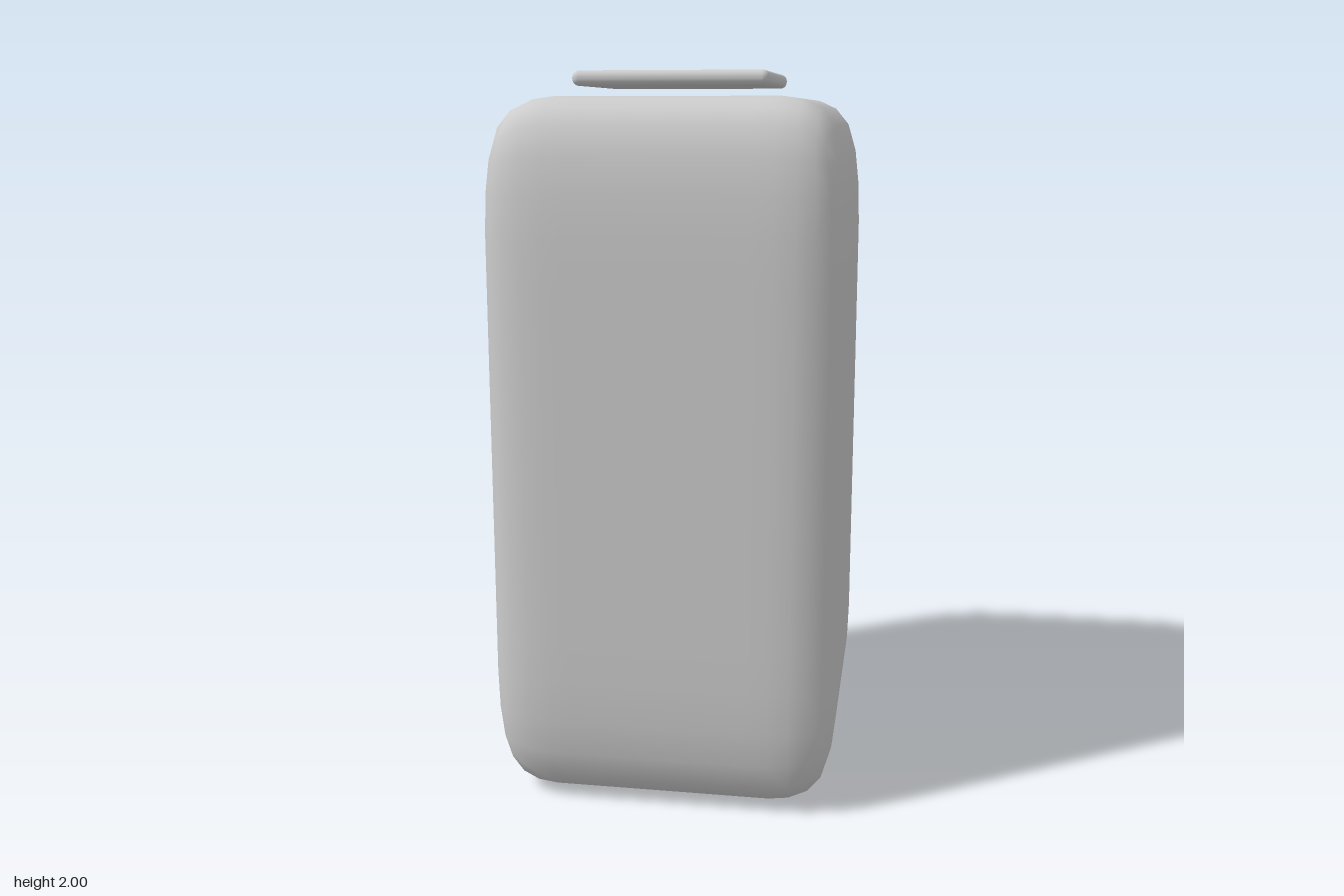
import * as THREE from 'three';
import { RoundedBoxGeometry } from 'three/addons/geometries/RoundedBoxGeometry.js';

// Box made of quads, softened by Catmull-Clark smoothing
function softBox(w, h, d, segments, levels) {
  const box = new THREE.BoxGeometry(w, h, d, segments, segments, segments);
  let points = [], lookup = new Map();
  const add = (p) => {
    const key = p.toArray().map((v) => Math.round(v * 1e5)).join();
    if (!lookup.has(key)) {
      lookup.set(key, points.length);
      points.push(p);
    }
    return lookup.get(key);
  };

  // Pair the box triangles (a b d, b c d) into quads with shared corners
  const corner = (i) => add(new THREE.Vector3().fromBufferAttribute(box.attributes.position, box.index.getX(i)));
  let quads = [];
  for (let i = 0; i < box.index.count; i += 6) {
    quads.push([corner(i), corner(i + 1), corner(i + 4), corner(i + 2)]);
  }

  const middle = (list) => list.reduce((s, p) => s.add(p), new THREE.Vector3()).divideScalar(list.length);
  for (let level = 0; level < levels; level++) {
    // Split every quad in four
    const old = points, finer = [];
    points = [];
    lookup = new Map();
    for (const q of quads) {
      const c = q.map((i) => old[i]);
      const centre = add(middle(c));
      const edges = c.map((p, k) => add(middle([p, c[(k + 1) % 4]])));
      c.forEach((p, k) => finer.push([add(p.clone()), edges[k], centre, edges[(k + 3) % 4]]));
    }
    quads = finer;
    // Pull each point towards the centres of its surrounding quads
    const around = points.map(() => []);
    for (const q of quads) {
      const m = middle(q.map((i) => points[i]));
      q.forEach((i) => around[i].push(m));
    }
    points = points.map((p, i) => p.clone().lerp(middle(around[i]), 4 / around[i].length));
  }

  const geometry = new THREE.BufferGeometry().setFromPoints(points);
  geometry.setIndex(quads.flatMap(([a, b, c, e]) => [a, b, c, a, c, e]));
  geometry.computeVertexNormals();
  return geometry;
}

export function createModel() {
  const model = new THREE.Group();
  model.name = 'cabinet';
  const grey = new THREE.MeshStandardMaterial({ color: 0xcccccc });
  grey.name = 'light grey';

  const addPart = (name, geometry, x, y, z) => {
    const mesh = new THREE.Mesh(geometry, grey);
    mesh.name = name;
    mesh.position.set(x, y, z);
    model.add(mesh);
  };

  // Soft main body
  addPart('body', softBox(0.96, 1.93, 0.96, 4, 2), 0, 0.968, 0.03);

  // Thin lid hovering just above the top
  addPart('lid', new RoundedBoxGeometry(0.525, 0.04, 0.525, 4, 0.019), 0, 1.98, 0.03);

  // Two doors on the back, each with a round knob
  const doors = [
    { name: 'upper', y: 1.5, height: 0.29 },
    { name: 'lower', y: 0.85, height: 0.675 },
  ];
  for (const { name, y, height } of doors) {
    addPart(name + 'Door', new RoundedBoxGeometry(0.43, height, 0.024, 3, 0.009), 0, y, -0.463);
    addPart(name + 'Knob', new THREE.SphereGeometry(0.028, 24, 16), 0, y, -0.487);
  }
  return model;
}
